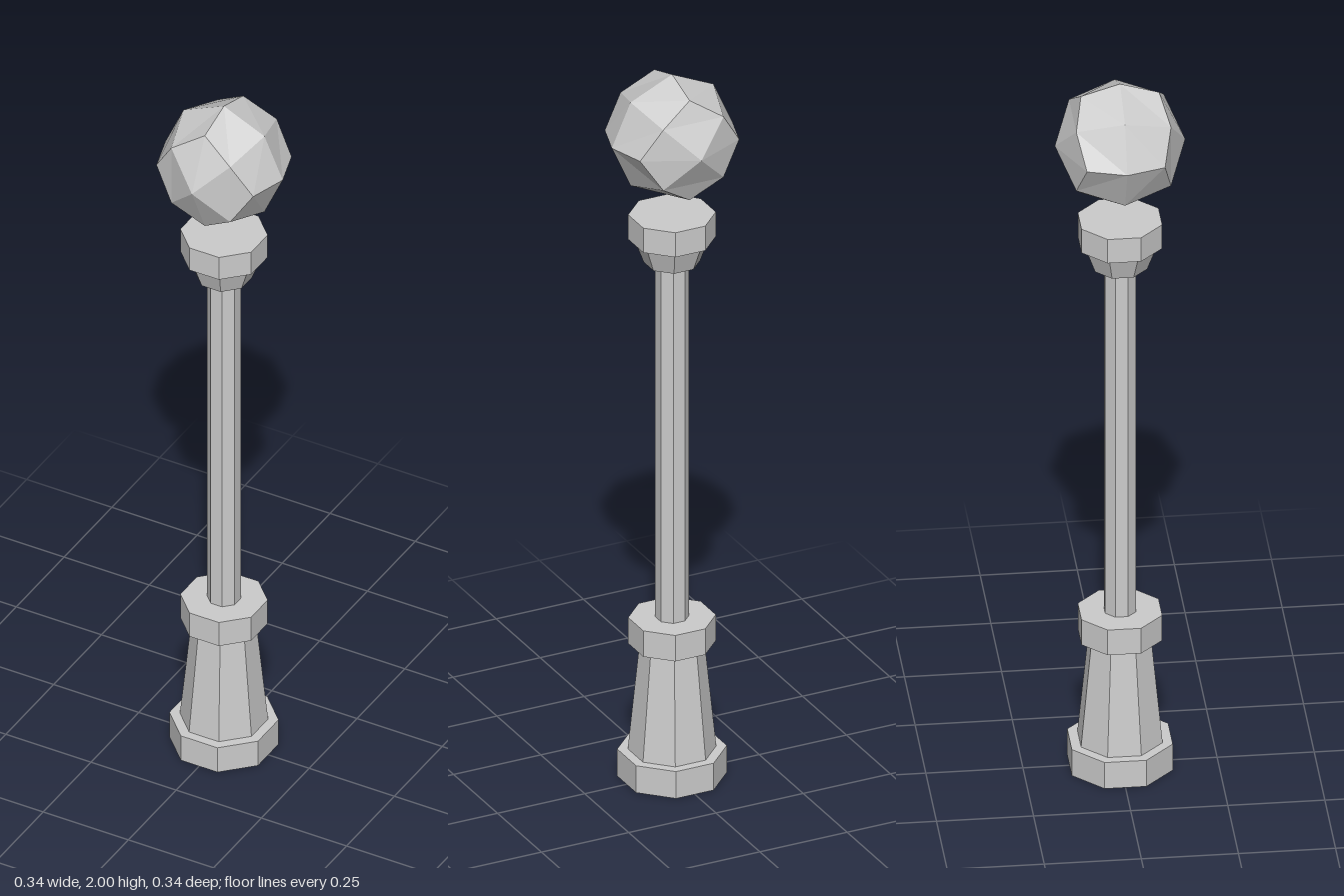
import * as THREE from 'three';

const material = new THREE.MeshStandardMaterial({ color: 0xcccccc, flatShading: true });

function add(group, name, geometry) {
  const mesh = new THREE.Mesh(geometry, material);
  mesh.name = name;
  group.add(mesh);
  return mesh;
}

// Eight-sided section with flats facing the axes; sizes are half-widths across flats
function octagon(group, name, y0, y1, bottom, top, open = false) {
  const k = 1 / Math.cos(Math.PI / 8);
  const geometry = new THREE.CylinderGeometry(top * k, bottom * k, y1 - y0, 8, 1, open);
  geometry.rotateY(Math.PI / 8);
  geometry.translate(0, (y0 + y1) / 2, 0);
  return add(group, name, geometry);
}

// Cube with 2 x 2 faces per side, pushed out to a faceted ball
function globeGeometry() {
  const geometry = new THREE.BoxGeometry(2, 2, 2, 2, 2, 2);
  const radii = [0, 0.168, 0.1725, 0.174]; // face centre, edge middle, corner
  const p = geometry.attributes.position;
  const v = new THREE.Vector3();
  for (let i = 0; i < p.count; i++) {
    v.fromBufferAttribute(p, i);
    const kind = Math.round(v.lengthSq());
    v.setLength(radii[kind]);
    p.setXYZ(i, v.x, v.y, v.z);
  }
  geometry.rotateZ(Math.PI / 4);
  geometry.computeVertexNormals();
  return geometry;
}

export function createModel() {
  const lamp = new THREE.Group();
  lamp.name = 'streetLamp';

  // Base
  octagon(lamp, 'foot', 0, 0.077, 0.13, 0.13);
  octagon(lamp, 'taperedBase', 0.077, 0.378, 0.105, 0.077, true);
  octagon(lamp, 'collar', 0.378, 0.452, 0.104, 0.104);

  // Post
  octagon(lamp, 'post', 0.452, 1.466, 0.04, 0.04, true);

  // Head
  octagon(lamp, 'flaredNeck', 1.466, 1.533, 0.067, 0.09);
  octagon(lamp, 'cap', 1.533, 1.603, 0.104, 0.104);

  // Globe floating above the cap
  add(lamp, 'globe', globeGeometry()).position.y = 1.8275;

  return lamp;
}
